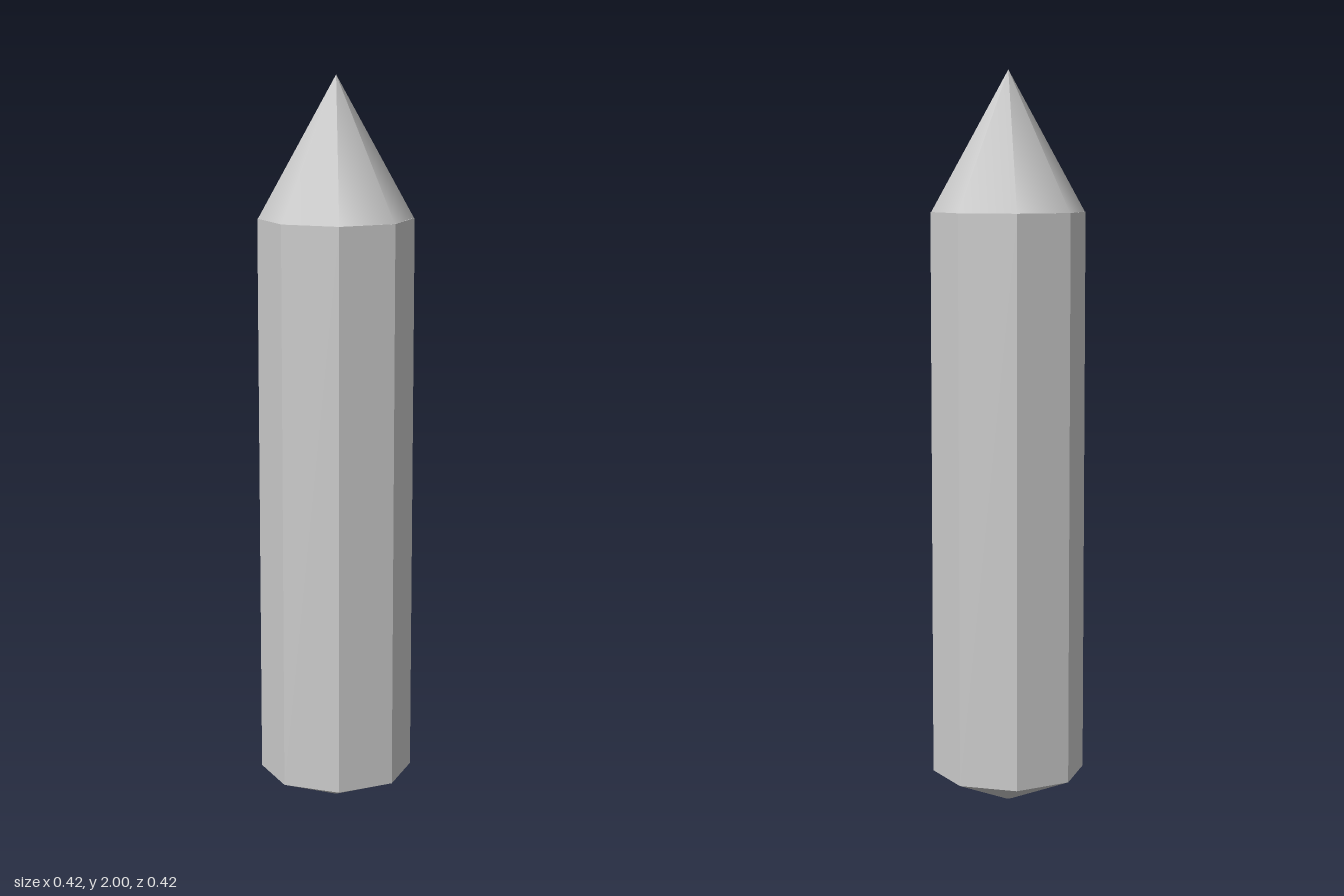
import * as THREE from 'three';

const SIDES = 8;
const RADIUS = 0.209;
const BASE_Y = 0.085;
const SHOULDER_Y = 1.625;
const HEIGHT = 2;

export function createModel() {
  const group = new THREE.Group();
  group.name = 'pointedShaft';
  const faceted = new THREE.MeshStandardMaterial({ color: 0xcccccc, flatShading: true });
  const smooth = new THREE.MeshStandardMaterial({ color: 0xcccccc });

  // Eight-sided section spanning y0 to y1, with corners on the x and z axes
  function section(name, topRadius, bottomRadius, y0, y1, open, material) {
    const geometry = new THREE.CylinderGeometry(topRadius, bottomRadius, y1 - y0, SIDES, 1, open);
    const mesh = new THREE.Mesh(geometry, material);
    mesh.name = name;
    mesh.position.y = (y0 + y1) / 2;
    group.add(mesh);
    return mesh;
  }

  // Straight faceted shaft, closed by the two points
  section('shaft', RADIUS, RADIUS, BASE_Y, SHOULDER_Y, false, faceted);

  // Long, smoothly shaded upper point
  section('upperPoint', 0, RADIUS - 0.002, SHOULDER_Y, HEIGHT, true, smooth);

  // Shallow faceted lower point with a tiny blunt end
  section('lowerPoint', RADIUS, 0.012, 0, BASE_Y, false, faceted);

  return group;
}
